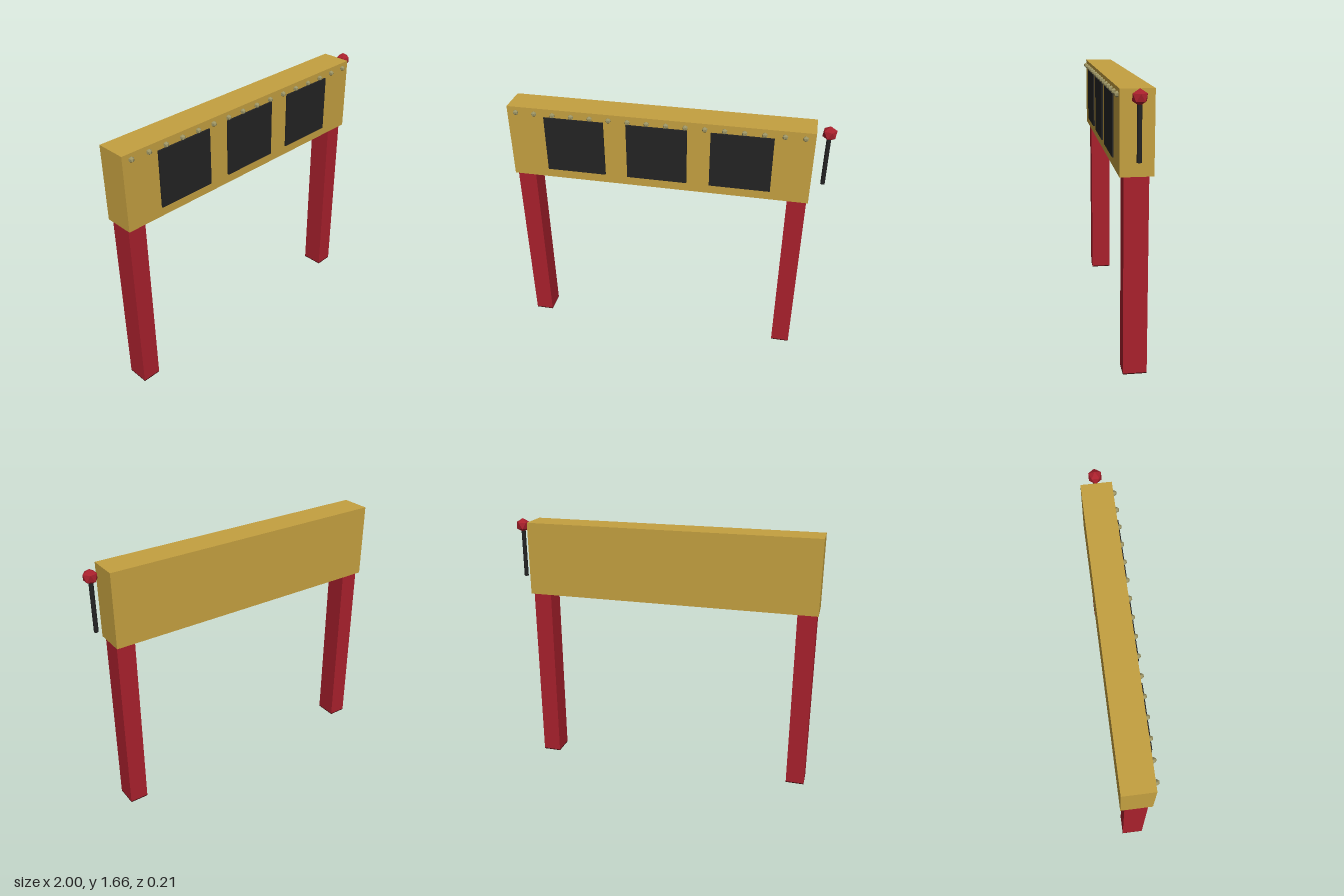
import * as THREE from 'three';

const mat = (name, color, flat = false) => {
  const m = new THREE.MeshStandardMaterial({ color, flatShading: flat });
  m.name = name;
  return m;
};

export function createModel() {
  const group = new THREE.Group();
  const gold = mat('gold', 0xc4a040);
  const red = mat('red', 0xa8202c);
  const darkRed = mat('darkRed', 0x3a0a0c);
  const black = mat('black', 0x232323);
  const knobRed = mat('knobRed', 0xa8202c, true);
  const bulbGlass = mat('bulbGlass', 0x9c9464, true);

  const add = (name, geometry, material, x, y, z) => {
    const mesh = new THREE.Mesh(geometry, material);
    mesh.name = name;
    mesh.position.set(x, y, z);
    group.add(mesh);
    return mesh;
  };
  // Box given by its lower and upper corners
  const box = (name, material, [x0, y0, z0], [x1, y1, z1]) =>
    add(name, new THREE.BoxGeometry(x1 - x0, y1 - y0, z1 - z0), material,
      (x0 + x1) / 2, (y0 + y1) / 2, (z0 + z1) / 2);
  // Icosahedron standing on one vertex
  const ball = (r) => new THREE.IcosahedronGeometry(r, 0)
    .rotateZ(-Math.atan(2 / (1 + Math.sqrt(5))));

  // Header beam
  box('beam', gold, [-1, 1.18, -0.106], [0.883, 1.653, 0.084]);

  // Legs with dark undersides
  for (const [side, x] of [['right', -0.99], ['left', 0.755]]) {
    box(side + 'Leg', red, [x, 0.006, -0.08], [x + 0.118, 1.18, 0.06]);
    box(side + 'Foot', darkRed, [x, 0, -0.08], [x + 0.118, 0.006, 0.06]);
  }

  // Three display panels
  for (let i = 0; i < 3; i++) {
    const x = -0.765 + i * 0.518;
    box('panel' + (i + 1), black, [x, 1.24, 0.084], [x + 0.376, 1.6, 0.094]);
  }

  // Row of bulbs along the top edge
  const bulb = ball(0.018);
  for (let i = 0; i < 16; i++) {
    add('bulb' + (i + 1), bulb, bulbGlass, -0.943 + i * 0.1178, 1.618, 0.09);
  }

  // Pull lever beside the beam
  add('leverRod', new THREE.CylinderGeometry(0.0135, 0.0135, 0.325, 16), black, 0.957, 1.4375, -0.01);
  add('leverKnob', ball(0.046), knobRed, 0.958, 1.617, -0.01);

  return group;
}
